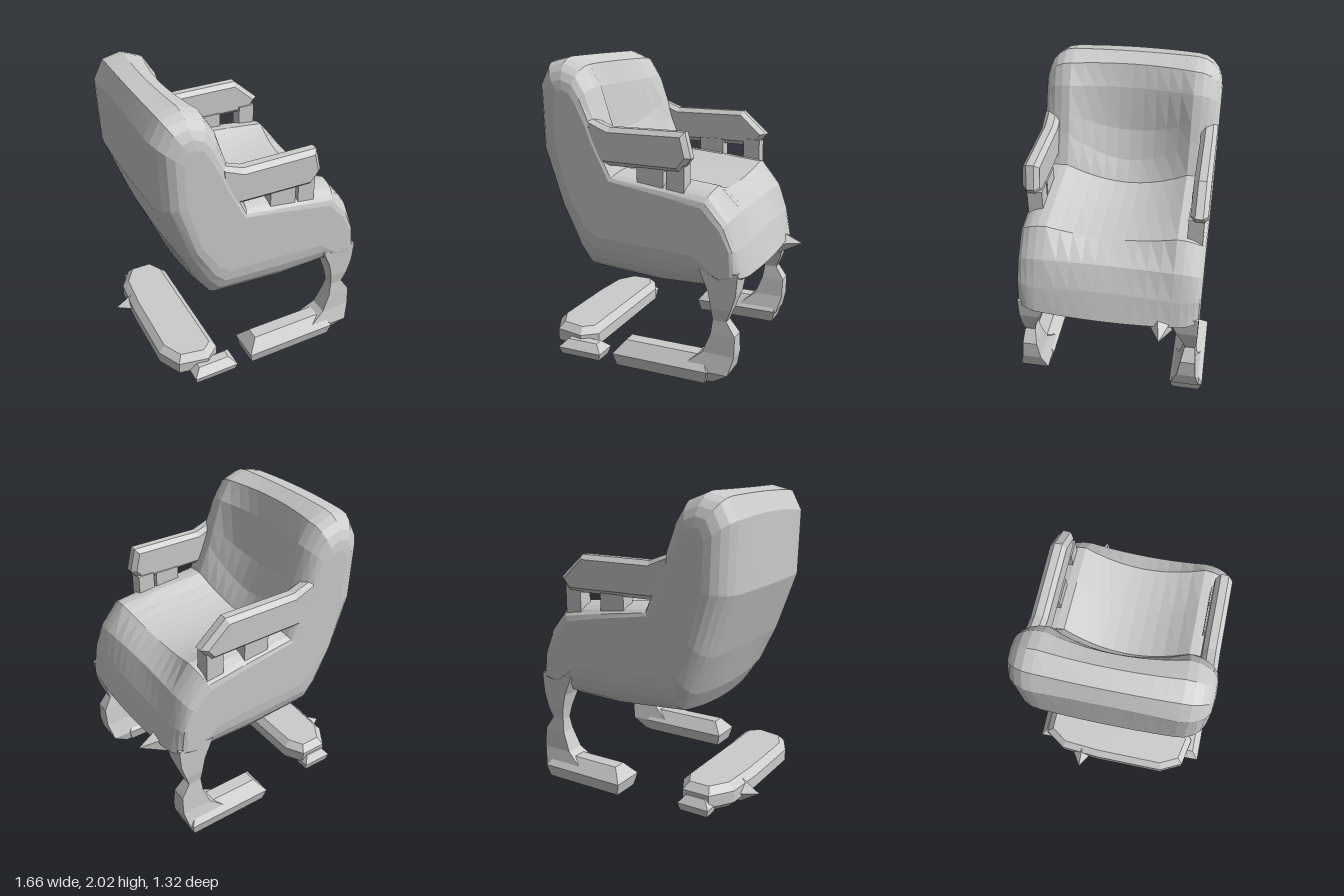
import * as THREE from 'three';

const mat = new THREE.MeshStandardMaterial({ color: 0xcccccc, flatShading: true, side: THREE.DoubleSide });

function add(group, name, geometry, x = 0, y = 0, z = 0) {
  const mesh = new THREE.Mesh(geometry, mat);
  mesh.name = name;
  mesh.position.set(x, y, z);
  group.add(mesh);
  return mesh;
}

// Side profiles of the padded shell (x, y): middle, shoulder and outer cheek
const MIDDLE = [[-.42, .59], [.1, .53], [.5, .56], [.66, .64], [.73, .7], [.67, .9], [.59, 1.06], [.44, 1.16], [.1, 1.16], [-.2, 1.17],
  [-.29, 1.3], [-.37, 1.5], [-.42, 1.8], [-.47, 1.95], [-.57, 2], [-.69, 1.98], [-.75, 1.86], [-.75, 1.4], [-.61, 1], [-.5, .72]];
const SHOULDER = [[-.4, .62], [.1, .58], [.45, .59], [.62, .64], [.71, .7], [.67, .88], [.61, 1.07], [.48, 1.24], [.2, 1.27], [-.16, 1.3],
  [-.24, 1.5], [-.28, 1.63], [-.34, 1.82], [-.42, 1.95], [-.55, 2], [-.68, 1.97], [-.75, 1.84], [-.74, 1.4], [-.6, 1], [-.48, .74]];
const CHEEK = [[-.3, .86], [.1, .84], [.38, .82], [.54, .7], [.62, .72], [.61, .88], [.55, 1], [.43, 1.13], [.17, 1.18], [-.2, 1.24],
  [-.32, 1.48], [-.36, 1.58], [-.43, 1.72], [-.47, 1.78], [-.52, 1.8], [-.56, 1.79], [-.59, 1.72], [-.58, 1.42], [-.49, 1.1], [-.38, .92]];

const mix = (a, b, t) => a.map((p, i) => [p[0] + (b[i][0] - p[0]) * t, p[1] + (b[i][1] - p[1]) * t]);

// Closed skin over rings of [x, y, z] points, ends filled with the given triangles
function loft(rings, caps) {
  const n = rings[0].length, last = (rings.length - 1) * n, idx = [];
  for (let r = 0; r < rings.length - 1; r++) {
    for (let i = 0; i < n; i++) {
      const a = r * n + i, b = r * n + (i + 1) % n;
      idx.push(a, b, b + n, a, b + n, a + n);
    }
  }
  caps.forEach(([a, b, c]) => idx.push(c, b, a, last + a, last + b, last + c));
  const g = new THREE.BufferGeometry();
  g.setAttribute('position', new THREE.Float32BufferAttribute(rings.flat(2), 3));
  g.setIndex(idx);
  g.computeVertexNormals();
  return g;
}

// Seat and back lofted across the width from the three profiles
function shellGeometry() {
  const half = [];
  for (let i = 0; i <= 5; i++) {
    const u = i / 5;
    half.push({ z: u * 0.42, ring: mix(MIDDLE, SHOULDER, u ** 2) });
  }
  for (let i = 1; i <= 5; i++) {
    const a = i / 5 * Math.PI / 2;
    half.push({ z: 0.42 + 0.185 * Math.sin(a), ring: mix(SHOULDER, CHEEK, 1 - Math.cos(a)) });
  }
  const sections = [...half.slice(1).reverse().map(s => ({ z: -s.z, ring: s.ring })), ...half];
  const caps = THREE.ShapeUtils.triangulateShape(CHEEK.map(p => new THREE.Vector2(...p)), []);
  return loft(sections.map(s => s.ring.map(([x, y]) => [x, y, s.z])), caps);
}

// Leg sections from floor to seat: y, back x, front x, inner z, outer z
const LEG = [[0, .3, .52, .46, .6], [.08, .3, .63, .44, .64], [.2, .45, .66, .48, .61], [.33, .5, .66, .5, .6],
  [.42, .51, .6, .52, .59], [.5, .5, .63, .5, .6], [.6, .48, .66, .46, .6], [.74, .42, .67, .4, .6]];

function legGeometry(s) {
  const rings = LEG.map(([y, x0, x1, z0, z1]) => {
    const [a, b] = s > 0 ? [z0, z1] : [-z1, -z0];
    return [[x0, y, b], [x1, y, b], [x1, y, a], [x0, y, a]];
  });
  return loft(rings, [[0, 1, 2], [0, 2, 3]]);
}

// Bevelled plate cut from an outline, centred on z = 0
function plate(points, thickness, bevel) {
  const shape = new THREE.Shape(points.map(p => new THREE.Vector2(...p)));
  const depth = thickness - 2 * bevel;
  return new THREE.ExtrudeGeometry(shape, {
    depth, bevelEnabled: true, bevelThickness: bevel, bevelSize: bevel, bevelOffset: -bevel, bevelSegments: 1
  }).translate(0, 0, -depth / 2);
}

// Floor bar: widest at mid height, drawn in at the top and bottom
function floorBar(w, h, d, inset) {
  const g = new THREE.BoxGeometry(w, h, d, 4, 2, 4);
  const p = g.attributes.position;
  for (let i = 0; i < p.count; i++) {
    const y = p.getY(i);
    const cut = y > 0.01 ? inset : y < -0.01 ? inset * 0.3 : 0;
    p.setX(i, p.getX(i) * (1 - 2 * cut / w));
    p.setZ(i, p.getZ(i) * (1 - 2 * cut / d));
  }
  g.computeVertexNormals();
  return g.translate(0, h / 2, 0);
}

export function createModel() {
  const model = new THREE.Group();
  model.name = 'armchair';
  add(model, 'seatAndBack', shellGeometry());

  // The two sides differ slightly in arm tip and runner reach
  const sides = [
    { name: 'left', s: 1, tip: .35, runnerStart: -.17, runnerEnd: .5 },
    { name: 'right', s: -1, tip: .49, runnerStart: 0, runnerEnd: .62 }
  ];
  for (const { name, s, tip, runnerStart, runnerEnd } of sides) {
    // Armrest joined to the seat side, with a small slot on each side of the middle post
    const arm = [[-.36, 1.34], [tip - .07, 1.33], [tip, 1.42], [.31, 1.58], [-.2, 1.58], [-.36, 1.64]];
    add(model, name + 'Armrest', plate(arm, 0.11, 0.03), 0, 0, s * 0.545);
    add(model, name + 'ArmFrontPost', new THREE.BoxGeometry(0.12, 0.26, 0.1), tip - 0.1, 1.25, s * 0.53);
    add(model, name + 'ArmMiddlePost', new THREE.BoxGeometry(0.18, 0.22, 0.1), 0.08, 1.26, s * 0.53);
    // Front leg flaring into the seat and into a floor runner
    add(model, name + 'Leg', legGeometry(s));
    add(model, name + 'Runner', floorBar(runnerEnd - runnerStart, 0.17, 0.23, 0.07), (runnerStart + runnerEnd) / 2, 0, s * 0.545);
  }

  // Rear floor bar: plan outline (x, -z), with low tapered ends
  const barPlan = [[-.36, -.5], [-.36, .42], [-.43, .55], [-.62, .55], [-.72, .4], [-.74, .12], [-.74, -.38], [-.66, -.54], [-.46, -.58]];
  const bar = add(model, 'rearBar', plate(barPlan, 0.17, 0.045), 0, 0.085, 0);
  bar.rotation.x = -Math.PI / 2;
  add(model, 'rearBarLeftEnd', floorBar(0.32, 0.1, 0.16, 0.05), -0.43, 0, 0.575);
  add(model, 'rearBarRightEnd', floorBar(0.22, 0.1, 0.12, 0.04), -0.53, 0, -0.54);
  const sideTip = add(model, 'rearBarSideTip', new THREE.ConeGeometry(0.09, 0.14, 4), -0.76, 0.07, -0.25);
  sideTip.rotation.z = Math.PI / 2;

  // Small pointed fold on the front lip
  const fold = add(model, 'frontLipFold', new THREE.ConeGeometry(0.09, 0.17, 5), 0.745, 0.68, -0.36);
  fold.rotation.z = -Math.PI / 2;
  return model;
}
